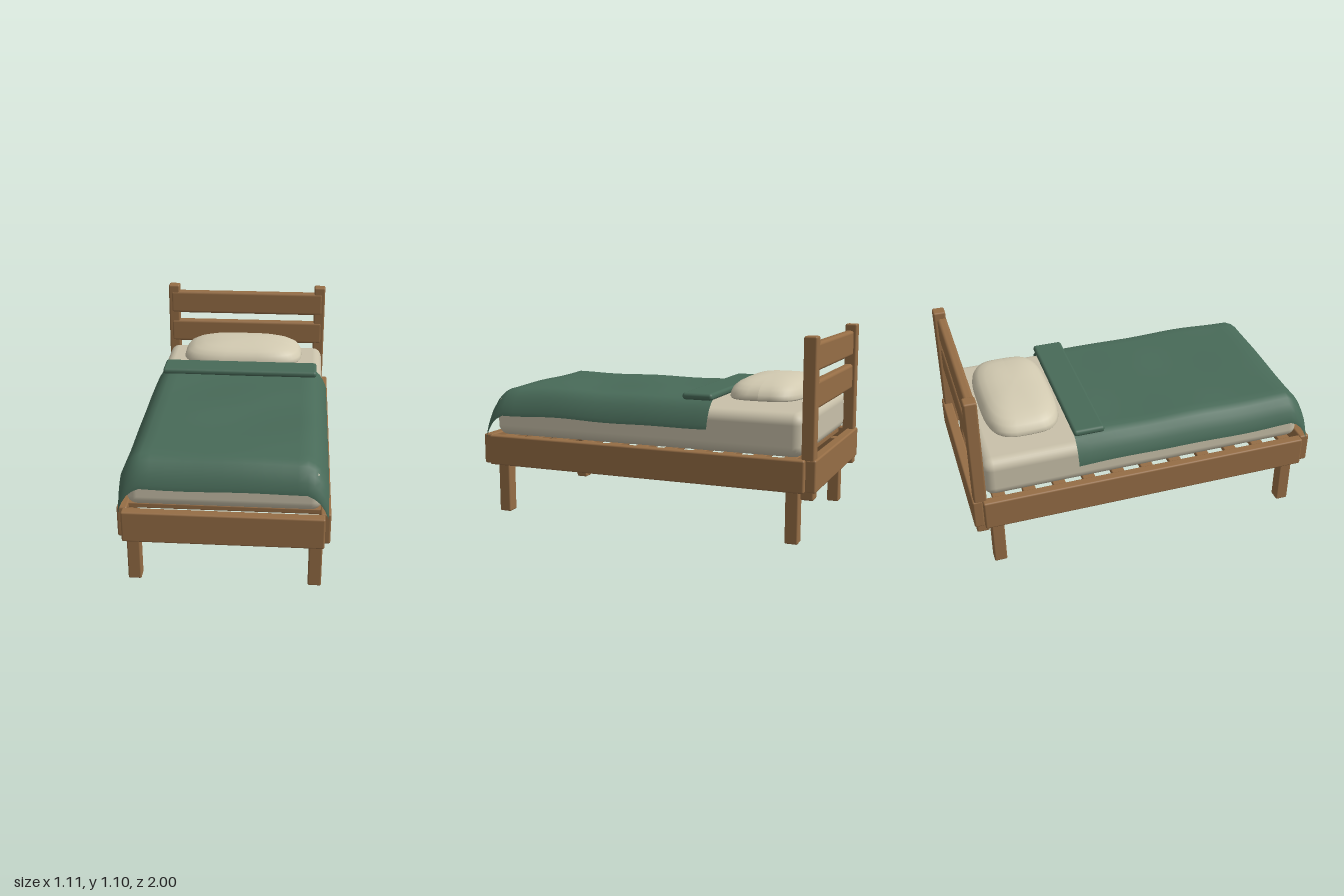
import * as THREE from 'three';
import { RoundedBoxGeometry } from 'three/addons/geometries/RoundedBoxGeometry.js';

const mat = (name, color, side = THREE.FrontSide) => {
  const m = new THREE.MeshStandardMaterial({ color, side });
  m.name = name;
  return m;
};

// Grid of points fn(i, j) turned into a smooth surface
function gridSurface(cols, rows, fn) {
  const pos = [], idx = [];
  for (let j = 0; j <= rows; j++) for (let i = 0; i <= cols; i++) pos.push(...fn(i, j));
  for (let j = 0; j < rows; j++) for (let i = 0; i < cols; i++) {
    const a = j * (cols + 1) + i, b = a + 1, c = a + cols + 1, d = c + 1;
    idx.push(a, c, b, b, c, d);
  }
  const g = new THREE.BufferGeometry();
  g.setAttribute('position', new THREE.Float32BufferAttribute(pos, 3));
  g.setIndex(idx);
  g.computeVertexNormals();
  return g;
}

export function createModel() {
  const bed = new THREE.Group();
  bed.name = 'bed';
  const wood = mat('wood', 0x956d45);
  const mattressCloth = mat('mattress cloth', 0xc8c0a9);
  const pillowCloth = mat('pillow cloth', 0xd2cab1);
  const blanketCloth = mat('blanket cloth', 0x486a58, THREE.DoubleSide);

  // Rounded box given by its limits on each axis
  const box = (name, material, [x0, x1], [y0, y1], [z0, z1], radius) => {
    const mesh = new THREE.Mesh(new RoundedBoxGeometry(x1 - x0, y1 - y0, z1 - z0, 3, radius), material);
    mesh.position.set((x0 + x1) / 2, (y0 + y1) / 2, (z0 + z1) / 2);
    mesh.name = name;
    bed.add(mesh);
  };

  // Frame rails, legs and headboard posts, mirrored left and right
  for (const s of [-1, 1]) {
    const side = s > 0 ? 'left' : 'right';
    const span = (a, b) => (s > 0 ? [a, b] : [-b, -a]);
    box(side + 'SideRail', wood, span(0.5, 0.555), [0.285, 0.46], [-0.945, 0.945], 0.01);
    box(side + 'FrontLeg', wood, span(0.447, 0.518), [0, 0.4], [0.838, 0.909], 0.008);
    box(side + 'BackLeg', wood, span(0.447, 0.518), [0, 0.4], [-0.909, -0.838], 0.008);
    box(side + 'HeadboardPost', wood, span(0.452, 0.523), [0.245, 1.095], [-0.99, -0.92], 0.01);
  }
  box('footRail', wood, [-0.525, 0.525], [0.285, 0.46], [0.943, 1], 0.01);
  box('headRail', wood, [-0.525, 0.525], [0.285, 0.46], [-1, -0.943], 0.01);

  // Headboard planks
  for (const y of [0.705, 0.905])
    box('headboardPlank', wood, [-0.51, 0.51], [y, y + 0.15], [-0.972, -0.917], 0.018);

  // Slats under the mattress
  for (let i = 0; i < 11; i++) {
    const z = -0.85 + i * 0.17;
    box('bedSlat', wood, [-0.51, 0.51], [0.425, 0.455], [z - 0.036, z + 0.036], 0.006);
  }

  box('mattress', mattressCloth, [-0.51, 0.51], [0.455, 0.69], [-0.925, 0.93], 0.06);

  // Pillow: rounded rings [scale, height] stacked from bottom to top
  const rings = [[0.001, 0.705], [0.5, 0.714], [0.85, 0.722], [0.98, 0.726], [1, 0.735], [0.985, 0.757],
    [0.93, 0.785], [0.82, 0.806], [0.66, 0.823], [0.42, 0.833], [0.2, 0.836], [0.001, 0.837]];
  const power = (v, p) => Math.sign(v) * Math.abs(v) ** p;
  const pillow = new THREE.Mesh(gridSurface(48, rings.length - 1, (i, j) => {
    const a = -(i % 48) / 48 * Math.PI * 2, [k, y] = rings[rings.length - 1 - j];
    return [0.377 * k * power(Math.cos(a), 0.58), y, -0.637 + 0.212 * k * power(Math.sin(a), 0.58)];
  }), pillowCloth);
  pillow.name = 'pillow';
  bed.add(pillow);

  // Blanket: flat on top, dropping at both sides and the foot, twice as far at the corners
  const hem = [[0.43, 0], [0.465, 0.018], [0.495, 0.045], [0.52, 0.085], [0.537, 0.125], [0.54, 0.148]];
  const acrossHalf = [[0.1, 0], [0.2, 0], [0.3, 0], [0.38, 0], ...hem];
  const across = [...acrossHalf.map(([x, d]) => [-x, d]).reverse(), [0, 0], ...acrossHalf];
  const along = [];
  for (let i = 0; i <= 16; i++) along.push([-0.405 + i * 0.075, 0]);
  for (const [x, d] of hem) along.push([x + 0.431, d]);
  const blanket = new THREE.Mesh(gridSurface(across.length - 1, along.length - 1, (i, j) => {
    const [x, dx] = across[i], [z, dz] = along[j];
    const wave = 0.004 * Math.sin(x * 9 + 0.6) * Math.cos(z * 7) + 0.003 * Math.sin(z * 11 + x * 4);
    return [x, 0.731 + wave - dx - dz, z];
  }), blanketCloth);
  blanket.name = 'blanket';
  bed.add(blanket);

  box('blanketFold', blanketCloth, [-0.474, 0.474], [0.727, 0.765], [-0.412, -0.238], 0.017);

  return bed;
}
